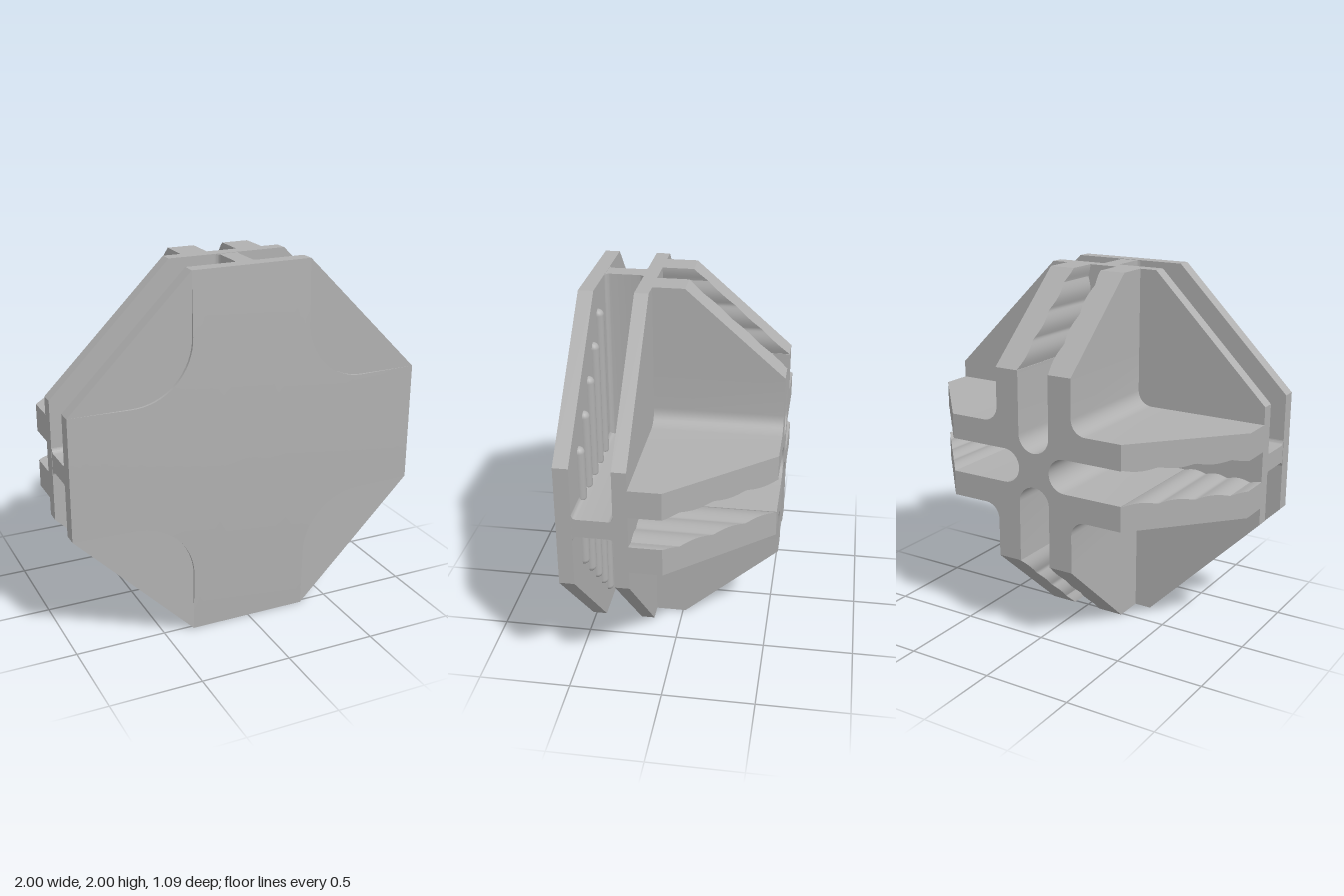
import * as THREE from 'three';
import { toCreasedNormals } from 'three/addons/utils/BufferGeometryUtils.js';

const grey = new THREE.MeshStandardMaterial({ color: 0xb0b0b0 });
grey.name = 'light grey';

const BACK = -0.545, PLATE_BACK = 0.155, SLOT_BACK = 0.23, SLOT_FRONT = 0.44, RIM = 0.52;
const BEND = 0.535; // distance from the axis where the rear walls start to slope
const C = 0.333;    // half length of the straight octagon sides

const v = (x, y) => new THREE.Vector2(x, y);
const turn = (p, k) => p.clone().rotateAround(v(0, 0), k * Math.PI / 2);

function add(group, name, geometry) {
  const m = new THREE.Mesh(geometry, grey);
  m.name = name;
  group.add(m);
  return m;
}

function extrude(points, z0, z1) {
  const g = new THREE.ExtrudeGeometry(new THREE.Shape(points), { depth: z1 - z0, bevelEnabled: false });
  return g.translate(0, 0, z0);
}

function arc(cx, cy, r, a0, a1, n = 12) {
  return Array.from({ length: n + 1 }, (_, i) => {
    const a = a0 + (a1 - a0) * i / n;
    return v(cx + r * Math.cos(a), cy + r * Math.sin(a));
  });
}

function fourfold(points) {
  return [0, 1, 2, 3].flatMap(k => points.map(p => turn(p, k)));
}

// Slightly domed cross on the front, with scooped corners and a thin skirt
function domeGeometry() {
  const corner = [v(1, C), ...arc(0.665, 0.665, 0.332, -Math.PI / 2, -Math.PI, 16), v(C, 1)];
  const outline = fourfold(corner);
  const n = outline.length, rings = 10, pos = [], idx = [];
  const height = p => RIM + 0.025 * Math.max(0, 1 - p.lengthSq() / 1.11);
  for (let r = 0; r <= rings; r++) {
    for (const o of outline) {
      const p = o.clone().multiplyScalar(r / rings);
      pos.push(p.x, p.y, height(p));
    }
  }
  for (const o of outline) pos.push(o.x, o.y, RIM - 0.01);
  for (let r = 0; r <= rings; r++) {
    for (let i = 0; i < n; i++) {
      const a = r * n + i, b = r * n + (i + 1) % n;
      if (r > 0) idx.push(a, b + n, b);
      idx.push(a, a + n, b + n);
    }
  }
  const g = new THREE.BufferGeometry();
  g.setAttribute('position', new THREE.Float32BufferAttribute(pos, 3));
  g.setIndex(idx);
  return toCreasedNormals(g, 0.5);
}

// Dividing web with filleted feet, as an I section running along y
function webGeometry() {
  const t = 0.05, r = 0.025, h = Math.PI / 2;
  const side = [
    v(t + r, SLOT_BACK - 0.01),
    ...arc(t + r, SLOT_BACK + r, r, -h, -2 * h, 5),
    ...arc(t + r, SLOT_FRONT - r, r, 2 * h, h, 5),
    v(t + r, SLOT_FRONT + 0.01),
  ];
  const other = side.map(p => v(-p.x, p.y)).reverse();
  const g = extrude([...side, ...other], -0.998, 0.998);
  g.rotateX(Math.PI / 2).scale(1, 1, 1);
  // section height now lies along z, length along y
  return toCreasedNormals(g, 0.6);
}

// Centre of the rear cross, with filleted corners and round slot ends
function hubGeometry() {
  const w = 0.235, s = 0.095, f = 0.085, h = Math.PI / 2;
  const arm = [
    v(BEND, -w), v(BEND, -s),
    ...arc(0.19, 0, s, 3 * h, h, 16),
    v(BEND, s), v(BEND, w),
    ...arc(w + f, w + f, f, 3 * h, 2 * h, 8),
  ];
  return toCreasedNormals(extrude(fourfold(arm), BACK, PLATE_BACK + 0.01), 0.6);
}

// Outer part of one rear wall: rippled inside face, sloped back
function wallGeometry() {
  const steps = 48, ripple = [];
  for (let i = 0; i <= steps; i++) {
    const u = i / steps;
    ripple.push(v(BEND + (1 - BEND) * u, 0.099 - 0.014 * Math.abs(Math.sin(u * Math.PI * 3.5))));
  }
  const g = extrude([...ripple, v(1, 0.235), v(BEND, 0.235)], BACK, PLATE_BACK + 0.01);
  const p = g.attributes.position;
  for (let i = 0; i < p.count; i++) {
    if (p.getZ(i) < 0) {
      const u = (p.getX(i) - BEND) / (1 - BEND);
      p.setZ(i, BACK + u * (-0.015 - BACK));
    }
  }
  g.computeVertexNormals();
  return toCreasedNormals(g, 0.5);
}

// Reversed winding keeps the mirrored copy facing outward
function mirrorY(geometry) {
  const g = geometry.clone().scale(1, -1, 1);
  const p = g.attributes.position, n = g.attributes.normal;
  const swap = (attr, a, b) => {
    for (const c of [0, 1, 2]) {
      const t = attr.getComponent(a, c);
      attr.setComponent(a, c, attr.getComponent(b, c));
      attr.setComponent(b, c, t);
    }
  };
  for (let i = 0; i < p.count; i += 3) {
    swap(p, i + 1, i + 2);
    swap(n, i + 1, i + 2);
  }
  g.computeVertexNormals();
  return toCreasedNormals(g, 0.5);
}

export function createModel() {
  const model = new THREE.Group();
  model.name = 'octagonal connector';
  const body = new THREE.Group();
  body.name = 'body';
  body.position.y = 1;
  model.add(body);

  // Two octagonal plates and the domed front
  const octagon = fourfold([v(1, -C), v(1, C)]);
  add(body, 'frontPlate', extrude(octagon, SLOT_FRONT, RIM));
  add(body, 'backPlate', extrude(octagon, PLATE_BACK, SLOT_BACK));
  add(body, 'frontDome', domeGeometry());

  // Crossed webs between the plates
  const web = webGeometry();
  add(body, 'verticalWeb', web);
  add(body, 'horizontalWeb', web).rotation.z = Math.PI / 2;

  // Rear cross
  add(body, 'rearHub', hubGeometry());
  const wall = wallGeometry(), mirrored = mirrorY(wall);
  for (let k = 0; k < 4; k++) {
    const arm = new THREE.Group();
    arm.name = 'rearArm';
    arm.rotation.z = k * Math.PI / 2;
    add(arm, 'upperWall', wall);
    add(arm, 'lowerWall', mirrored);
    body.add(arm);
  }

  // Grip ribs inside the four slots, stepped along the diagonal
  const r = 0.032;
  for (const x of [0.255, 0.388, 0.52, 0.652, 0.785]) {
    const top = 1.13 - x, bottom = 0.03;
    const rib = new THREE.CapsuleGeometry(r, top - bottom - 2 * r, 6, 14);
    for (const sx of [-1, 1]) for (const sy of [-1, 1]) for (const z of [SLOT_BACK, SLOT_FRONT]) {
      add(body, 'gripRib', rib).position.set(sx * x, sy * (top + bottom) / 2, z);
    }
  }
  return model;
}
